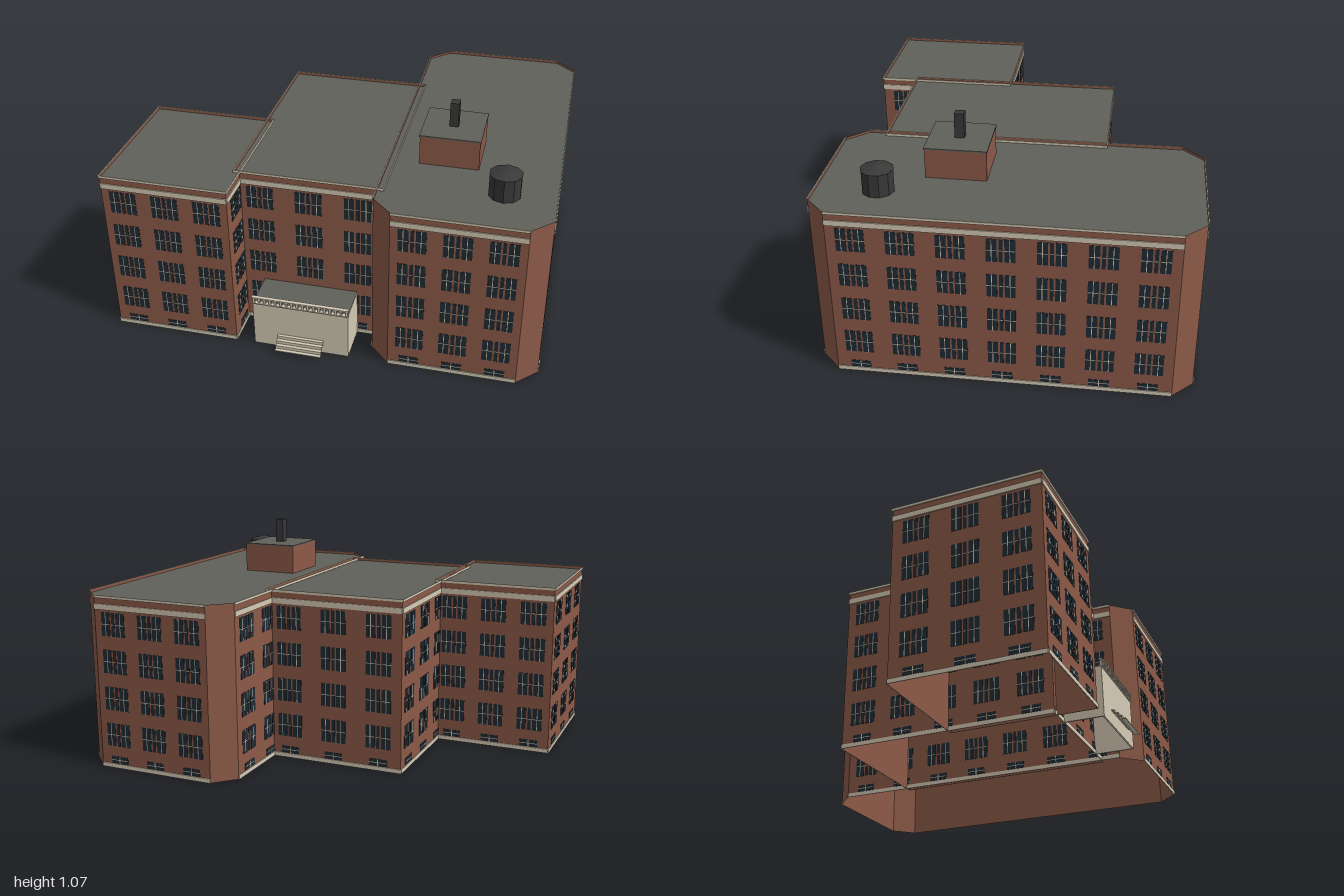
import * as THREE from 'three';
import { mergeGeometries } from 'three/addons/utils/BufferGeometryUtils.js';

const mat = (name, color, side = THREE.FrontSide) => {
  const m = new THREE.MeshStandardMaterial({ color, side });
  m.name = name;
  return m;
};

export function createModel() {
  const brick = mat('brick', 0x8c5a48, THREE.DoubleSide);
  const stone = mat('pale stone', 0xd4cab5);
  const roofGrey = mat('roof grey', 0x5f6059, THREE.DoubleSide);
  const glass = mat('window glass', 0x1f2b34);
  const metal = mat('dark metal', 0x393939);

  const model = new THREE.Group();
  model.name = 'brickBuilding';
  const H = 0.82, ROOF = 0.808;

  const add = (parent, name, geo, material) => {
    const mesh = new THREE.Mesh(geo, material);
    mesh.name = name;
    parent.add(mesh);
    return mesh;
  };
  // Box given by its minimum and maximum corners
  const span = (x0, x1, y0, y1, z0, z1) =>
    new THREE.BoxGeometry(x1 - x0, y1 - y0, z1 - z0)
      .translate((x0 + x1) / 2, (y0 + y1) / 2, (z0 + z1) / 2);

  // Wings: x0, x1, z0, z1 and corner chamfer
  const wings = [
    { name: 'leftWing', x0: -0.995, x1: -0.405, z0: 0.128, z1: 0.807, c: 0 },
    { name: 'middleWing', x0: -0.43, x1: 0.25, z0: -0.418, z1: 0.625, c: 0 },
    { name: 'rightWing', x0: 0.225, x1: 0.995, z0: -0.865, z1: 0.807, c: 0.093 },
  ];

  function buildWing({ name, x0, x1, z0, z1, c }) {
    const group = new THREE.Group();
    group.name = name;
    model.add(group);

    // Footprint, with cut corners where there is a chamfer
    const pts = c
      ? [[x0 + c, z1], [x1 - c, z1], [x1, z1 - c], [x1, z0 + c],
        [x1 - c, z0], [x0 + c, z0], [x0, z0 + c], [x0, z1 - c]]
      : [[x0, z1], [x1, z1], [x1, z0], [x0, z0]];

    // Thin walls, open at the bottom, rising past the roof as a low parapet
    add(group, 'walls', mergeGeometries(pts.map(([ax, az], i) => {
      const [bx, bz] = pts[(i + 1) % pts.length];
      return new THREE.PlaneGeometry(Math.hypot(bx - ax, bz - az), H)
        .rotateY(Math.atan2(az - bz, bx - ax))
        .translate((ax + bx) / 2, H / 2, (az + bz) / 2);
    })), brick);
    const shape = new THREE.Shape(pts.map(([x, z]) => new THREE.Vector2(x, -z)));
    add(group, 'roof', new THREE.ShapeGeometry(shape).rotateX(-Math.PI / 2)
      .translate(0, ROOF, 0), roofGrey);

    // Each straight facade: trim bands and windows placed in facade coordinates
    const panes = [], bars = [], trim = [];
    const cx = (x0 + x1) / 2, cz = (z0 + z1) / 2;
    const facades = [
      [cx, z1, 0, x1 - x0 - 2 * c], [x1, cz, Math.PI / 2, z1 - z0 - 2 * c],
      [cx, z0, Math.PI, x1 - x0 - 2 * c], [x0, cz, -Math.PI / 2, z1 - z0 - 2 * c],
    ];
    for (const [fx, fz, angle, len] of facades) {
      const put = (list, u, y, width, height, depth) => list.push(
        span(u - width / 2, u + width / 2, y - height / 2, y + height / 2, 0.0003, depth)
          .rotateY(angle).translate(fx, 0, fz));

      put(trim, 0, 0.01, len, 0.02, 0.004);
      put(trim, 0, 0.769, len, 0.026, 0.005);
      put(trim, 0, 0.816, len + (c ? 0 : 0.01), 0.012, 0.005);

      const n = Math.round(len / 0.212);
      for (let i = 0; i < n; i++) {
        const u = (i + 0.5 - n / 2) * len / n;
        // Four storeys: two broad sashes around a narrow one
        for (let row = 0; row < 4; row++) {
          const y = 0.162 + row * 0.1758;
          for (const [offset, width] of [[-0.039, 0.046], [0, 0.016], [0.039, 0.046]]) {
            put(panes, u + offset, y, width, 0.111, 0.002);
            put(bars, u + offset, y, width, 0.003, 0.003);
            if (offset) put(bars, u + offset, y, 0.003, 0.111, 0.003);
          }
        }
        // Basement window pair
        for (const s of [-1, 1]) {
          put(panes, u + s * 0.0235, 0.039, 0.043, 0.034, 0.002);
          put(bars, u + s * 0.0235, 0.039, 0.043, 0.003, 0.003);
        }
        put(bars, u, 0.039, 0.004, 0.034, 0.003);
      }
    }
    add(group, 'windowPanes', mergeGeometries(panes), glass);
    add(group, 'windowBars', mergeGeometries(bars), stone);
    add(group, 'stoneBands', mergeGeometries(trim), stone);
  }
  wings.forEach(buildWing);

  // Entrance porch, open underneath
  const porch = new THREE.Group();
  porch.name = 'entrancePorch';
  model.add(porch);
  add(porch, 'porchWalls', mergeGeometries([
    span(-0.315, 0.135, 0, 0.235, 0.8, 0.808),
    span(-0.315, -0.307, 0, 0.235, 0.625, 0.8),
    span(0.127, 0.135, 0, 0.235, 0.625, 0.8),
  ]), stone);
  add(porch, 'porchRoof', span(-0.314, 0.134, 0.23, 0.237, 0.625, 0.802), roofGrey);
  const rail = [span(-0.318, 0.138, 0.263, 0.27, 0.798, 0.816),
    span(-0.318, 0.138, 0.232, 0.238, 0.798, 0.814)];
  const balusters = 18;
  for (let i = 0; i < balusters; i++) {
    const x = -0.309 + i * 0.438 / (balusters - 1);
    rail.push(span(x - 0.005, x + 0.005, 0.237, 0.264, 0.802, 0.812));
  }
  add(porch, 'balustrade', mergeGeometries(rail), stone);

  // Open staircase made of thin treads and risers
  const stairs = [];
  for (let i = 0; i < 4; i++) {
    const z = 0.87 - i * 0.016, y = 0.02 + i * 0.0155;
    stairs.push(span(-0.2, 0.017, y, y + 0.004, z - 0.016, z));
    if (i) stairs.push(span(-0.2, 0.017, y - 0.0155, y, z - 0.004, z));
  }
  add(porch, 'steps', mergeGeometries(stairs), stone);

  // Rooftop machine room with chimney
  add(model, 'machineRoom', span(0.36, 0.632, ROOF, 0.947, 0.083, 0.358), brick);
  add(model, 'machineRoomRoof', span(0.357, 0.635, 0.946, 0.953, 0.08, 0.361), roofGrey);
  add(model, 'chimney', span(0.475, 0.516, 0.952, 1.07, 0.2, 0.244), metal);

  // Water tank with a shallow conical lid
  const tank = new THREE.Group();
  tank.name = 'waterTank';
  tank.position.set(0.767, ROOF, 0.535);
  model.add(tank);
  const flat = g => { const f = g.toNonIndexed(); f.computeVertexNormals(); return f; };
  add(tank, 'tankBody', flat(new THREE.CylinderGeometry(0.072, 0.072, 0.107, 10)
    .translate(0, 0.0535, 0)), metal);
  add(tank, 'tankLid', flat(new THREE.ConeGeometry(0.074, 0.02, 10)
    .translate(0, 0.117, 0)), metal);

  return model;
}
